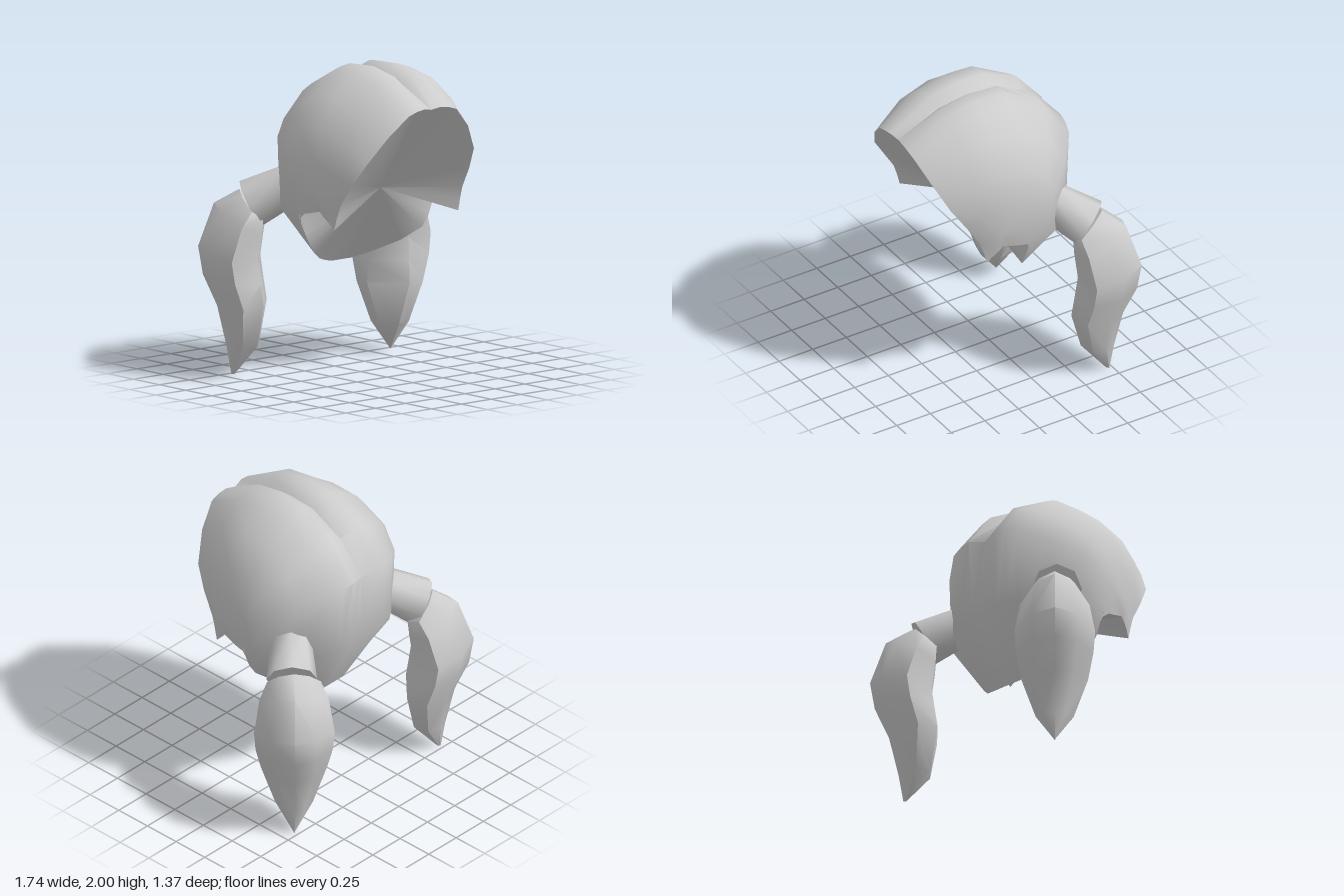
import * as THREE from 'three';
import { toCreasedNormals } from 'three/addons/utils/BufferGeometryUtils.js';

const hairGrey = new THREE.MeshStandardMaterial({ color: 0xcccccc });
hairGrey.name = 'hairGrey';

const V = (x, y, z) => new THREE.Vector3(x, y, z);
const flip = (p) => V(-p.x, p.y, p.z);

// Triangles between neighbouring lines of points
function skin(lines) {
  const tris = [];
  for (let j = 0; j + 1 < lines.length; j++) {
    for (let k = 0; k + 1 < lines[j].length; k++) {
      const a = lines[j][k], b = lines[j + 1][k], c = lines[j + 1][k + 1], d = lines[j][k + 1];
      tris.push(a, b, c, a, c, d);
    }
  }
  return tris;
}

function meshFrom(tris, crease, name) {
  const geometry = new THREE.BufferGeometry().setFromPoints(tris);
  const mesh = new THREE.Mesh(toCreasedNormals(geometry, crease), hairGrey);
  mesh.name = name;
  return mesh;
}

// Key strands of one half: each runs from the face rim, over the crown, to the nape rim
const strand = (...p) => p.map((q) => V(...q));
const strands = [
  strand([.07, 1.79, .69], [.07, 1.96, .4], [.07, 2, .2], [.08, 1.99, -.01], [.1, 1.86, -.27], [.11, 1.63, -.46], [.1, 1.14, -.43], [.08, .695, -.19]),
  strand([.2, 1.76, .69], [.23, 1.92, .42], [.23, 1.96, .2], [.24, 1.95, -.02], [.26, 1.8, -.26], [.28, 1.6, -.42], [.28, 1.13, -.4], [.24, .74, -.12]),
  strand([.45, 1.46, .57], [.5, 1.58, .42], [.54, 1.65, .22], [.55, 1.64, .03], [.57, 1.56, -.08], [.58, 1.42, -.12], [.55, 1.1, -.14], [.47, .88, .05]),
  strand([.51, 1.18, .39], [.55, 1.2, .33], [.575, 1.24, .26], [.585, 1.25, .2], [.59, 1.25, .16], [.59, 1.22, .1], [.585, 1.16, .06], [.55, 1.03, .055]),
  strand([.52, 1.02, .34], [.535, 1.06, .31], [.55, 1.1, .27], [.555, 1.13, .24], [.56, 1.12, .2], [.565, 1.11, .16], [.57, 1.1, .11], [.57, 1.09, .06]),
];
// Depth of the parting groove at each row
const grooveDepths = [.02, .055, .06, .06, .055, .045, .005, 0];

function buildCap() {
  // Fill in strands between the keys
  const rows = strands[0].length;
  const curves = Array.from({ length: rows }, (_, k) => new THREE.CatmullRomCurve3(strands.map((s) => s[k])));
  const half = [];
  for (let j = 0; j <= 8; j++) half.push(curves.map((c) => c.getPoint(j / 8)));

  // Parting groove along the middle
  const core = V(0, 1.3, .1);
  const parting = strands[0].map((p, k) => {
    const q = V(0, p.y, p.z);
    return q.add(core.clone().sub(q).setLength(grooveDepths[k]));
  });
  const lines = [...half.map((s) => s.map(flip)).reverse(), parting, ...half];
  const tris = skin(lines);

  // Hollow front and underside: a fan from the rim to an inner point
  const inner = V(0, 1.21, .19);
  const last = lines.length - 1;
  const rim = [
    ...lines.map((l) => l[0]),
    ...lines[last].slice(1),
    ...lines.map((l) => l[rows - 1]).reverse().slice(1),
    ...lines[0].slice(0, -1).reverse(),
  ];
  for (let i = 0; i + 1 < rim.length; i++) tris.push(inner, rim[i + 1], rim[i]);
  return meshFrom(tris, .9, 'hairCap');
}

// Tail rings: spine height and reach; crease height, reach, half width; inner face height, reach, half width
const tailRings = [
  [1.13, .68, 1.12, .66, 0, 1.1, .64, 0],
  [1.19, .76, 1.07, .67, .17, 1.03, .6, .11],
  [1.1, .92, .97, .73, .22, .93, .61, .12],
  [.82, 1.02, .76, .79, .255, .75, .635, .125],
  [.64, .99, .62, .77, .245, .6, .615, .13],
  [.44, .9, .45, .72, .21, .46, .595, .135],
  [.18, .84, .19, .73, .12, .19, .64, .065],
  [0, .81, 0, .8, 0, 0, .79, 0],
];

function buildPigtail(name) {
  const group = new THREE.Group();
  group.name = name;

  // Tapered sleeve joining the tail to the head
  const from = V(.41, 1.23, -.2), to = V(.59, 1.1, -.38);
  const axis = to.clone().sub(from);
  const sleeve = new THREE.Mesh(
    toCreasedNormals(new THREE.CylinderGeometry(.16, .13, axis.length(), 8), .9), hairGrey);
  sleeve.name = 'pigtailSleeve';
  sleeve.position.copy(from).add(to).multiplyScalar(.5);
  sleeve.quaternion.setFromUnitVectors(V(0, 1, 0), axis.normalize());
  group.add(sleeve);

  // Hanging tail: rounded outwards, bevelled to a narrow flat face towards the head
  const at = (reach, side, y) => {
    const t = .135 + side;
    return V((reach + t) * Math.SQRT1_2, y, (t - reach) * Math.SQRT1_2);
  };
  const lines = tailRings.map(([ys, ds, yc, dc, wc, yi, di, wi]) => {
    const ym = yc + (ys - yc) * .7, dm = dc + (ds - dc) * .7, wm = wc * .57;
    return [
      at(dc, wc, yc), at(dm, wm, ym), at(ds, 0, ys), at(dm, -wm, ym), at(dc, -wc, yc),
      at(di, -wi, yi), at(di, wi, yi), at(dc, wc, yc),
    ];
  });
  group.add(meshFrom(skin(lines), .95, 'pigtailTail'));
  return group;
}

export function createModel() {
  const model = new THREE.Group();
  model.name = 'hair';
  const left = buildPigtail('leftPigtail');
  const right = buildPigtail('rightPigtail');
  right.scale.x = -1;
  model.add(buildCap(), left, right);
  return model;
}
